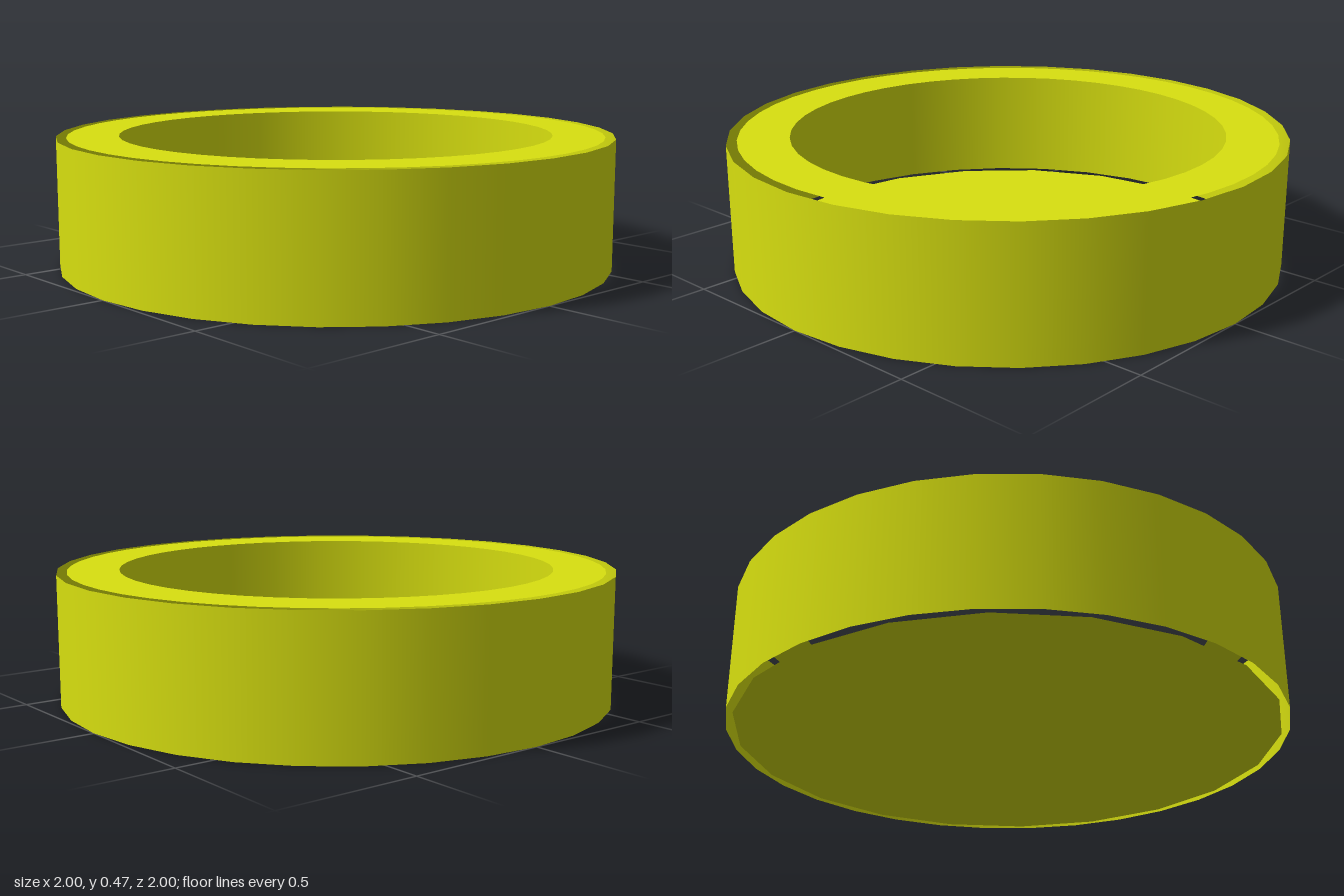
import * as THREE from 'three';

export function createModel() {
  const model = new THREE.Group();
  const height = 0.466;
  const material = new THREE.MeshStandardMaterial({ color: 0xd8e010, side: THREE.DoubleSide });

  function addPart(name, geometry, y) {
    const mesh = new THREE.Mesh(geometry, material);
    mesh.name = name;
    mesh.position.y = y;
    model.add(mesh);
  }

  // Thin open outer wall
  addPart('outerWall', new THREE.CylinderGeometry(1, 1, height, 32, 1, true), height / 2);

  // Flat rim on top, with a small gap to the wall
  addPart('topRim', new THREE.RingGeometry(0.78, 0.963, 48).rotateX(-Math.PI / 2), height);

  // Coarser floor disc, slightly smaller than the wall
  addPart('floorDisc', new THREE.CircleGeometry(0.975, 20).rotateX(-Math.PI / 2), 0);

  return model;
}
